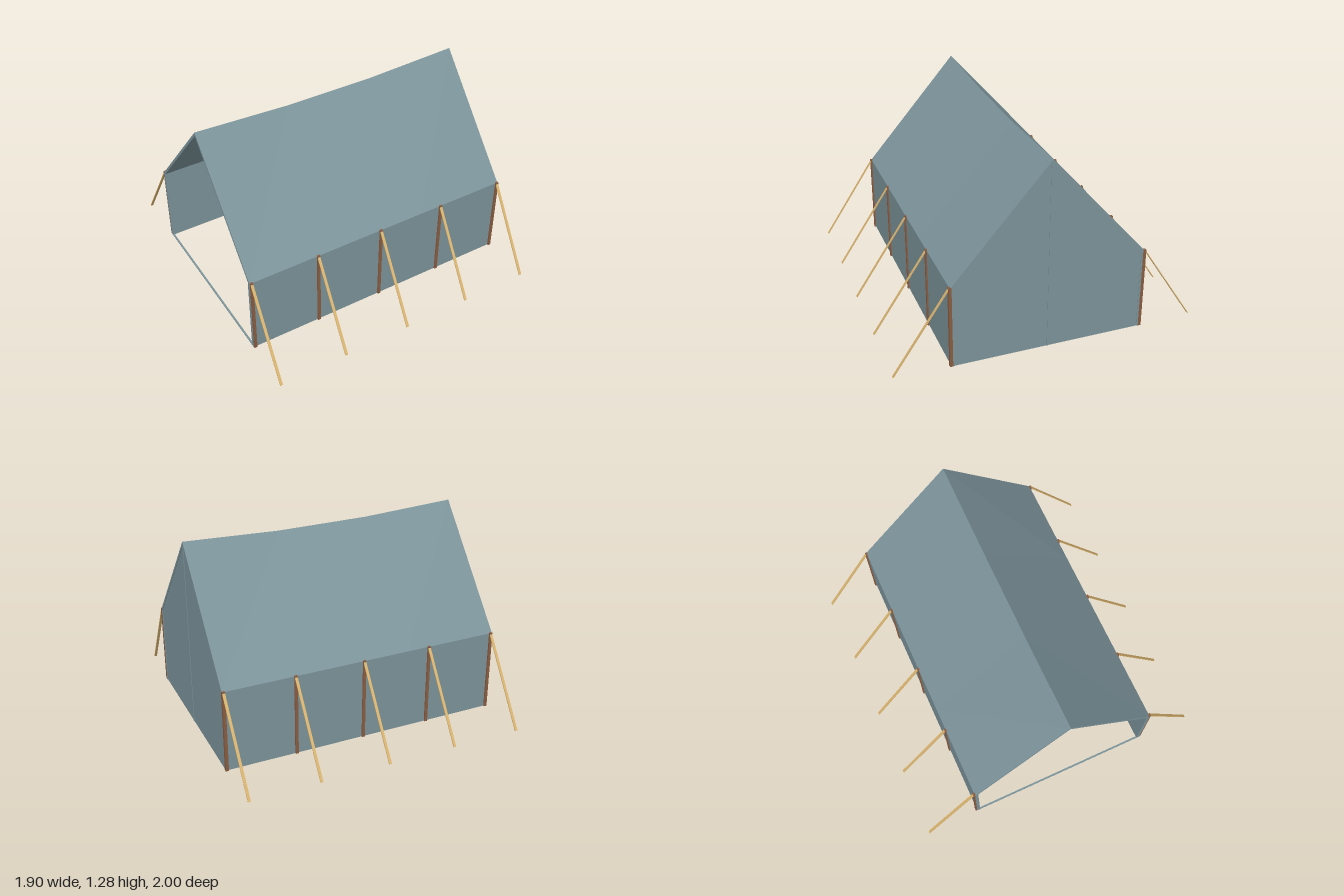
import * as THREE from 'three';

const EAVE = 0.555, HALF_X = 0.945, HALF_Z = 0.635, THICK = 0.022;
const canvas = new THREE.MeshStandardMaterial({ color: 0x7c949b, flatShading: true, side: THREE.DoubleSide });
const wood = new THREE.MeshStandardMaterial({ color: 0x8a5d42, flatShading: true });
const rope = new THREE.MeshStandardMaterial({ color: 0xd9b46f, flatShading: true });

// ridge sags towards the middle: [x, height]
const ridge = [[-HALF_X, 1.285], [-0.31, 1.257], [0.31, 1.257], [HALF_X, 1.285]];

function add(group, name, geometry, material, x = 0, y = 0, z = 0) {
  const mesh = new THREE.Mesh(geometry, material);
  mesh.name = name;
  mesh.position.set(x, y, z);
  group.add(mesh);
  return mesh;
}

// skin a row of equal cross-sections and close both ends
function loft(rings) {
  const pos = [];
  const quad = (a, b, c, d) => [a, b, c, a, c, d].forEach((p) => pos.push(...p));
  for (let r = 0; r < rings.length - 1; r++) {
    const a = rings[r], b = rings[r + 1];
    for (let i = 0; i < a.length; i++) {
      const j = (i + 1) % a.length;
      quad(a[i], b[i], b[j], a[j]);
    }
  }
  quad(...rings[0]);
  quad(...[...rings[rings.length - 1]].reverse());
  const g = new THREE.BufferGeometry();
  g.setAttribute('position', new THREE.Float32BufferAttribute(pos, 3));
  g.computeVertexNormals();
  return g;
}

export function createModel() {
  const tent = new THREE.Group();
  tent.name = 'tent';

  // two sloping roof sheets, the back one turned round
  const roofGeo = loft(ridge.map(([x, y]) => [
    [x, EAVE, HALF_Z], [x, y, 0], [x, y - THICK * 1.2, 0], [x, EAVE, HALF_Z - THICK],
  ]));
  add(tent, 'frontRoof', roofGeo, canvas);
  add(tent, 'backRoof', roofGeo, canvas).rotation.y = Math.PI;

  // long side walls
  const wallGeo = new THREE.BoxGeometry(HALF_X * 2, EAVE, THICK);
  for (const s of [1, -1]) {
    add(tent, s > 0 ? 'frontWall' : 'backWall', wallGeo, canvas, 0, EAVE / 2, s * (HALF_Z - THICK / 2));
  }

  // closed end: two door flaps meeting at a seam
  for (const s of [1, -1]) {
    const w = HALF_Z - 0.006;
    const shape = new THREE.Shape([
      new THREE.Vector2(0, 0), new THREE.Vector2(s * w, 0),
      new THREE.Vector2(s * w, EAVE), new THREE.Vector2(0, 1.278),
    ]);
    const flapGeo = new THREE.ExtrudeGeometry(shape, { depth: 0.008, bevelEnabled: false });
    add(tent, s > 0 ? 'backDoorFlap' : 'frontDoorFlap', flapGeo, canvas, 0.934).rotation.y = Math.PI / 2;
  }
  add(tent, 'doorSeam', new THREE.BoxGeometry(0.006, 1.262, 0.014), canvas, 0.942, 0.631, 0.004);

  // ground strip across the open end
  add(tent, 'groundStrip', new THREE.BoxGeometry(0.012, 0.006, HALF_Z * 2), canvas, -0.939, 0.003, 0);

  // wall poles with flat guy lines running out to the ground
  const poleGeo = new THREE.BoxGeometry(0.02, 0.56, 0.02);
  for (const s of [1, -1]) {
    for (const x of [-0.933, -0.465, 0, 0.468, 0.936]) {
      add(tent, 'pole', poleGeo, wood, x, 0.28, s * HALF_Z);
      const top = new THREE.Vector3(x, 0.55, s * 0.642);
      const foot = new THREE.Vector3(x - 0.011, 0.003, s * 0.998);
      const line = add(tent, 'guyLine', new THREE.BoxGeometry(0.018, 0.006, top.distanceTo(foot)), rope);
      line.position.copy(top).add(foot).multiplyScalar(0.5);
      line.lookAt(foot);
    }
  }
  return tent;
}
